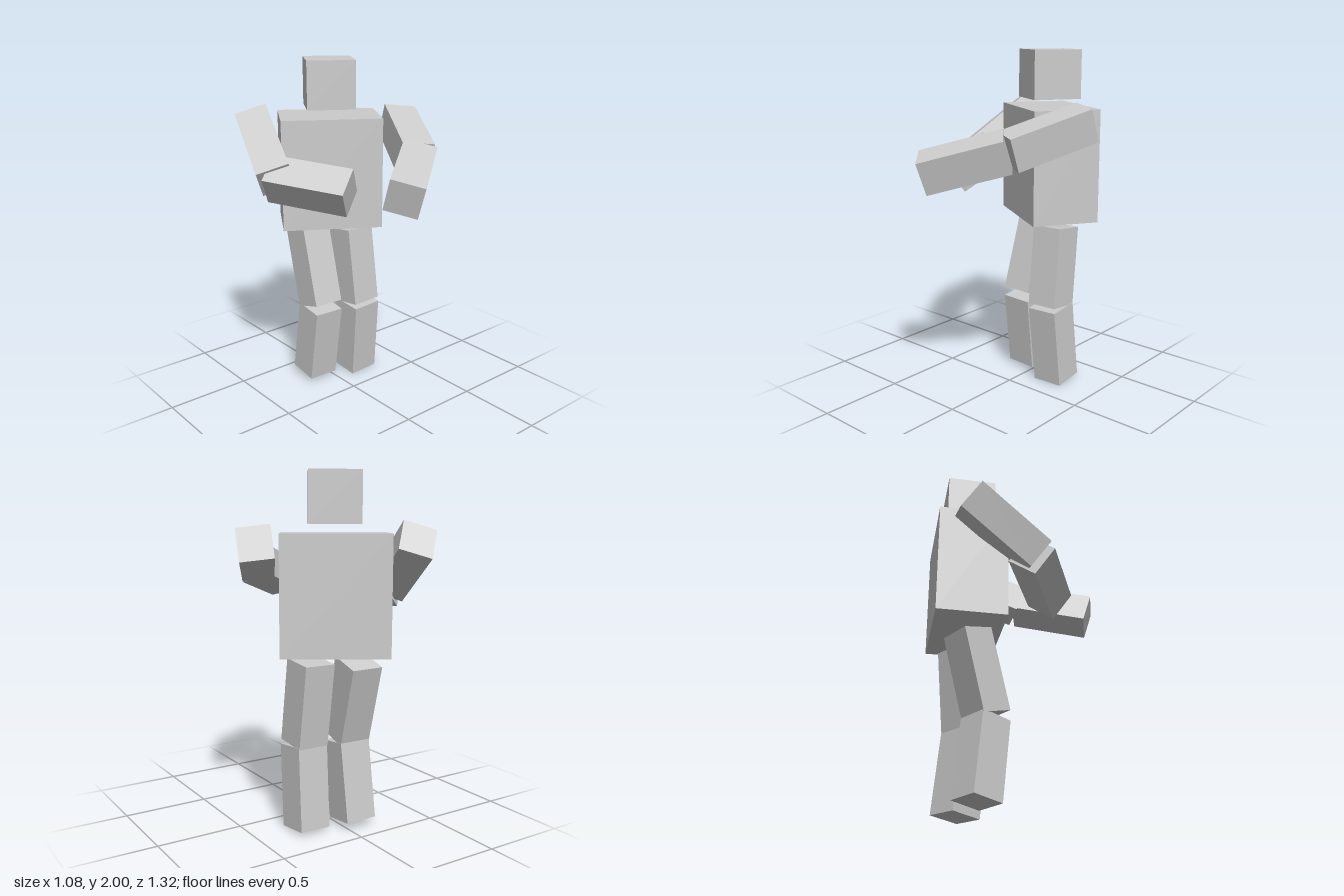
import * as THREE from 'three';

const material = new THREE.MeshStandardMaterial({ color: 0xcccccc, flatShading: true });
const YAW = -0.556; // head and torso turn towards the right
const LIMB = 0.19; // square limb section

// Upright block turned about y
function block(name, size, position) {
  const mesh = new THREE.Mesh(new THREE.BoxGeometry(...size), material);
  mesh.name = name;
  mesh.position.set(...position);
  mesh.rotation.y = YAW;
  return mesh;
}

// Square bar running between two end centres; side sets its twist
function limb(name, start, end, side) {
  const a = new THREE.Vector3(...start);
  const b = new THREE.Vector3(...end);
  const up = a.clone().sub(b);
  const mesh = new THREE.Mesh(new THREE.BoxGeometry(LIMB, up.length(), LIMB), material);
  up.normalize();
  const x = new THREE.Vector3(...side);
  x.addScaledVector(up, -x.dot(up)).normalize();
  const z = new THREE.Vector3().crossVectors(x, up);
  mesh.quaternion.setFromRotationMatrix(new THREE.Matrix4().makeBasis(x, up, z));
  mesh.position.copy(a).add(b).multiplyScalar(0.5);
  mesh.name = name;
  return mesh;
}

export function createModel() {
  const model = new THREE.Group();
  model.name = 'blockFigure';

  model.add(
    block('head', [0.283, 0.28, 0.283], [0.055, 1.86, -0.295]),
    block('torso', [0.59, 0.655, 0.395], [0.055, 1.345, -0.3])
  );

  // Each limb: name, start centre, end centre, sideways direction
  const limbs = [
    // Arms, both reaching forward and bent at the elbow
    ['leftUpperArm', [0.45, 1.62, -0.13], [0.225, 1.48, 0.27], [0.17, -0.02, 0.085]],
    ['leftForearm', [0.23, 1.485, 0.277], [-0.13, 1.365, 0.557], [0.125, -0.045, 0.14]],
    ['rightUpperArm', [-0.292, 1.64, -0.58], [-0.417, 1.37, -0.18], [0.155, 0.05, 0.09]],
    ['rightForearm', [-0.42, 1.37, -0.223], [-0.17, 1.325, 0.172], [0.13, 0.107, -0.07]],
    // Legs, slightly bent at the knee
    ['leftThigh', [0.165, 0.97, -0.235], [0.175, 0.495, -0.18], [1, 0, -0.03]],
    ['leftShin', [0.178, 0.485, -0.178], [0.19, 0.01, -0.225], [1, 0, -0.03]],
    ['rightThigh', [-0.06, 0.967, -0.373], [-0.072, 0.511, -0.24], [1, 0, 0.03]],
    ['rightShin', [-0.07, 0.49, -0.241], [-0.078, 0.033, -0.301], [1, 0, 0.03]],
  ];
  for (const spec of limbs) model.add(limb(...spec));

  return model;
}
